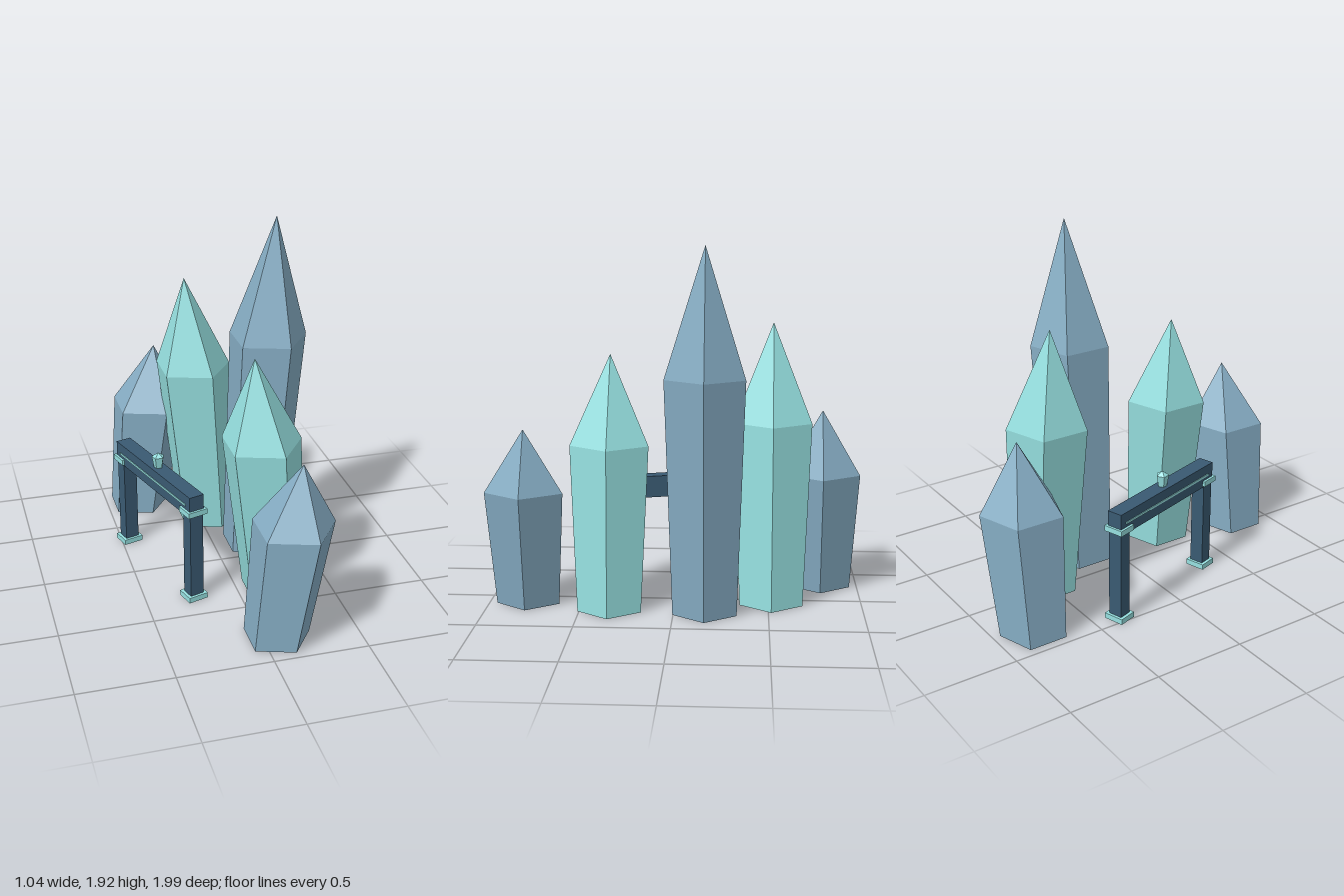
import * as THREE from 'three';

const material = (color) => new THREE.MeshStandardMaterial({ color, flatShading: true });
const BLUE = material(0x86adc4);
const TEAL = material(0x96e0e0);
const SLATE = material(0x3a5a72);

// Five-sided crystal: closed foot, widening shaft, pointed tip, leaning along x
function crystal(name, mat, footRadius, waistRadius, waistY, tipY, lean = 0) {
  const profile = [[0, 0], [footRadius, 0], [waistRadius, waistY], [0, tipY]]
    .map(([r, y]) => new THREE.Vector2(r, y));
  let geometry = new THREE.LatheGeometry(profile, 5, Math.PI / 2);
  const shear = new THREE.Matrix4();
  shear.elements[4] = lean; // x += lean * y
  geometry.applyMatrix4(shear);
  geometry = geometry.toNonIndexed();
  geometry.computeVertexNormals();
  const mesh = new THREE.Mesh(geometry, mat);
  mesh.name = name;
  return mesh;
}

function box(name, mat, w, h, d, x, bottom, z) {
  const mesh = new THREE.Mesh(new THREE.BoxGeometry(w, h, d), mat);
  mesh.name = name;
  mesh.position.set(x, bottom + h / 2, z);
  return mesh;
}

// Post-and-beam gateway, its length along local z
function createGate() {
  const gate = new THREE.Group();
  gate.name = 'gate';
  for (const [side, z] of [['back', -0.358], ['front', 0.358]]) {
    gate.add(
      box(side + 'PostBase', TEAL, 0.112, 0.03, 0.1, 0, 0, z),
      box(side + 'Post', SLATE, 0.078, 0.505, 0.07, 0, 0.01, z),
      box(side + 'PostCapital', TEAL, 0.112, 0.03, 0.1, 0, 0.513, z),
    );
  }
  gate.add(box('beam', SLATE, 0.085, 0.12, 0.79, 0, 0.505, 0));
  gate.add(box('beamInlay', TEAL, 0.008, 0.012, 0.71, -0.0425, 0.56, 0));
  const finial = crystal('finial', TEAL, 0.024, 0.035, 0.062, 0.085);
  finial.position.y = 0.625;
  gate.add(finial);
  gate.position.set(-0.347, 0, -0.018);
  gate.rotation.y = 0.3;
  return gate;
}

export function createModel() {
  const model = new THREE.Group();
  model.name = 'crystalGateway';

  // Arc of large crystals: material, foot x, z, waist height, tip height, lean
  const crystals = [
    [BLUE, 0.075, 0.79, 0.63, 0.965, 0.127],
    [TEAL, 0.195, 0.34, 0.88, 1.35, -0.085],
    [BLUE, 0.227, -0.165, 1.255, 1.925, 0.061],
    [TEAL, 0.043, -0.515, 0.98, 1.505, -0.078],
    [BLUE, -0.312, -0.79, 0.66, 1.015, 0.115],
  ];
  crystals.forEach(([mat, x, z, waistY, tipY, lean], i) => {
    const mesh = crystal('crystal' + (i + 1), mat, 0.177, 0.218, waistY, tipY, lean);
    mesh.position.set(x, 0, z);
    model.add(mesh);
  });

  model.add(createGate());
  return model;
}
